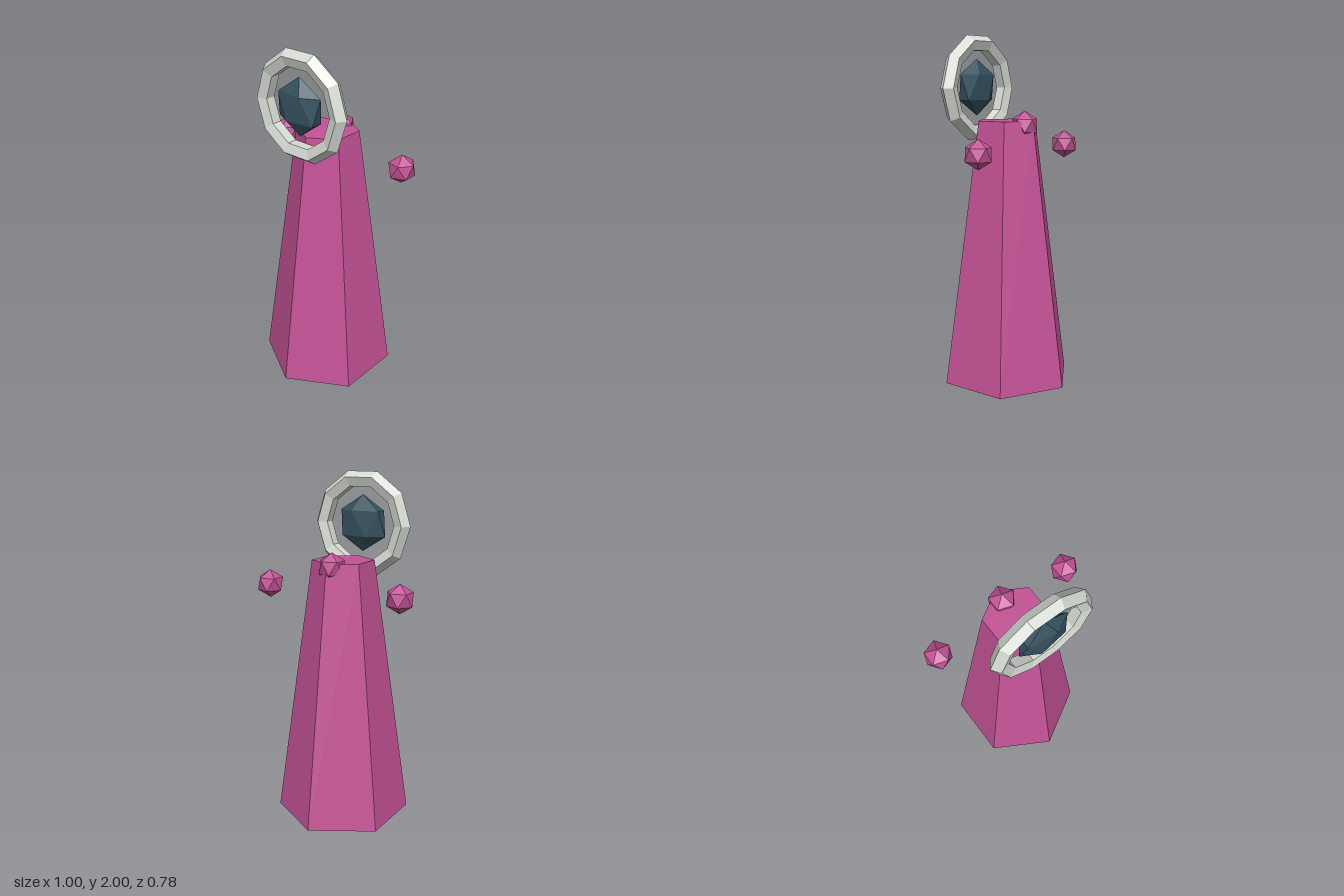
import * as THREE from 'three';

const flat = (color) => new THREE.MeshStandardMaterial({ color, flatShading: true });

export function createModel() {
  const model = new THREE.Group();
  const pink = flat(0xc45296);
  const silver = flat(0xd5dbd3);
  const teal = flat(0x35525f);

  const add = (name, geometry, material, x, y, z) => {
    const mesh = new THREE.Mesh(geometry, material);
    mesh.name = name;
    mesh.position.set(x, y, z);
    model.add(mesh);
    return mesh;
  };

  // Icosahedron turned so that one corner points straight up
  const upright = (radius) =>
    new THREE.IcosahedronGeometry(radius, 0).rotateZ(-Math.atan(2 / (1 + Math.sqrt(5))));

  // Tapered six-sided body
  add('body', new THREE.CylinderGeometry(0.177, 0.39, 1.52, 6), pink, 0, 0.76, 0);

  // Ten-sided ring with a five-sided section
  add('ring', new THREE.TorusGeometry(0.263, 0.05, 5, 10), silver, 0, 1.702, 0.212);

  // Flattened gem in the ring
  add('gem', upright(0.164), teal, 0, 1.705, 0.221).scale.z = 0.4;

  // Floating side crystals and the one set into the top
  const crystal = upright(0.082);
  add('leftCrystal', crystal, pink, 0.425, 1.363, -0.12);
  add('rightCrystal', crystal, pink, -0.425, 1.363, -0.12);
  add('topCrystal', crystal, pink, 0, 1.495, -0.12);

  return model;
}
